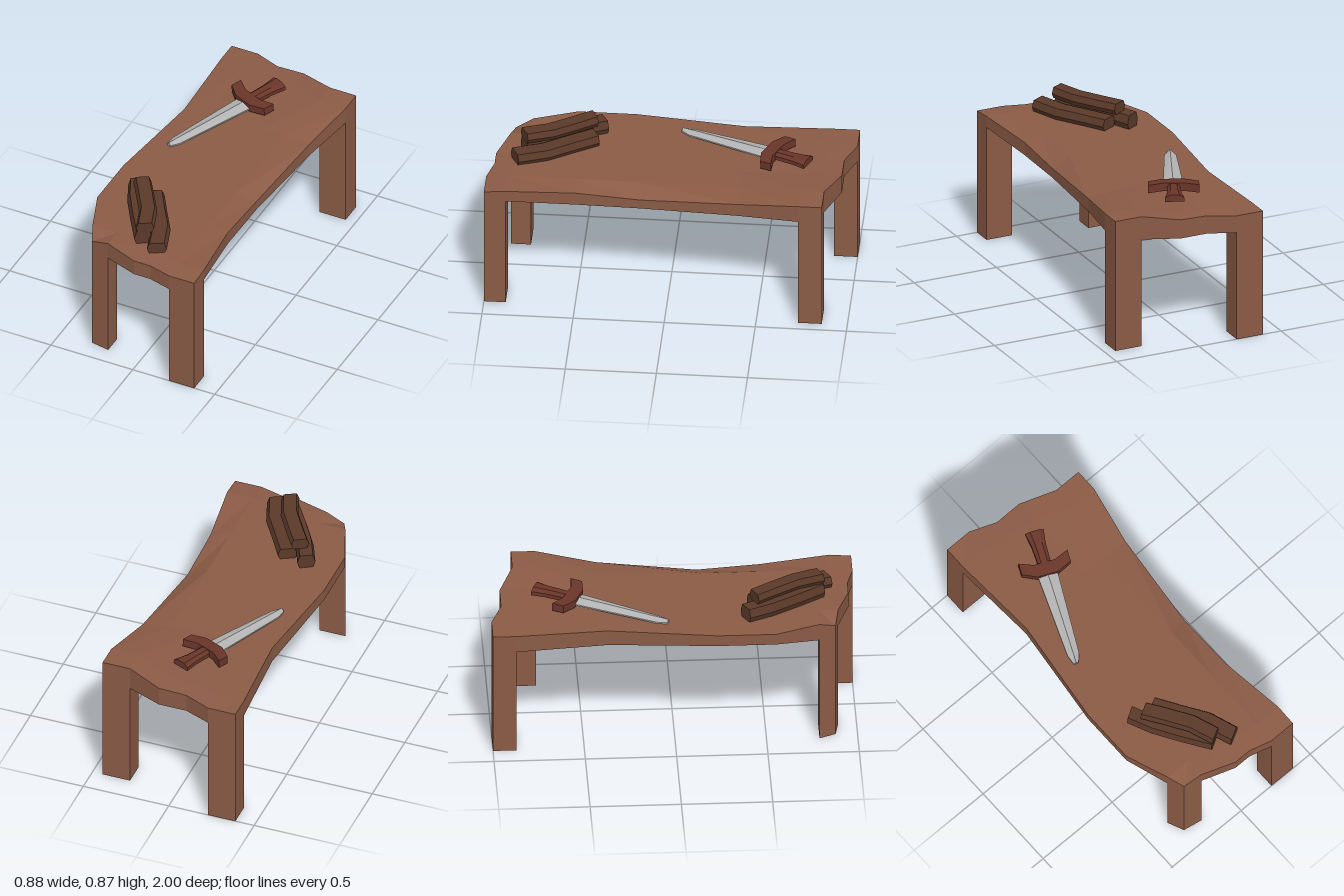
import * as THREE from 'three';

const WOOD = 0x8b5b46, LOG = 0x5a3929, HILT = 0x6a3529, STEEL = 0xb4b4b4;

// Skin a list of equal, even-length loops and close both ends.
// Loops run counter-clockwise seen from the last section.
function loft(name, color, sections) {
  const n = sections[0].length, last = sections.length - 1, pos = [];
  const quad = (a, b, c, d) => pos.push(...a, ...b, ...c, ...a, ...c, ...d);
  for (let k = 0; k < last; k++) {
    const s = sections[k], t = sections[k + 1];
    for (let i = 0; i < n; i++) {
      const j = (i + 1) % n;
      quad(s[i], s[j], t[j], t[i]);
    }
  }
  const s = sections[0], e = sections[last];
  for (let i = 0; i < n / 2 - 1; i++) {
    quad(s[i], s[n - 1 - i], s[n - 2 - i], s[i + 1]);
    quad(e[i], e[i + 1], e[n - 2 - i], e[n - 1 - i]);
  }
  const geo = new THREE.BufferGeometry();
  geo.setAttribute('position', new THREE.Float32BufferAttribute(pos, 3));
  geo.computeVertexNormals();
  const mesh = new THREE.Mesh(geo, new THREE.MeshStandardMaterial({ color, flatShading: true }));
  mesh.name = name;
  return mesh;
}

// Two end values become six evenly spaced ones
const spread = (a) => a.length === 6 ? a
  : [0, 1, 2, 3, 4, 5].map((i) => a[0] + (a[1] - a[0]) * i / 5);

// Warped slab: rows from back to front, six columns from left to right
function tableTop() {
  const backX = [-0.39, -0.23, -0.08, 0.08, 0.28, 0.44];
  const frontX = [-0.2, -0.01, 0.09, 0.22, 0.375];
  const low = [0.63, 0.63, 0.63, 0.63, 0.63];
  const flat = [0.73, 0.73, 0.73, 0.73, 0.73];
  const rows = [
    { x: backX, z: [-1, -1, -0.94, -0.94, -0.86, -0.86],
      top: [0.73, 0.73, 0.735, 0.74, 0.765, 0.765], bottom: [...low, 0.63] },
    { x: backX, z: [-0.87, -0.87, -0.84, -0.81, -0.73, -0.73],
      top: [0.73, 0.735, 0.74, 0.745, 0.765, 0.765], bottom: [...low, 0.665] },
    { x: [-0.365, 0.38], z: [-0.37, -0.4],
      top: [0.735, 0.735, 0.735, 0.735, 0.735, 0.72], bottom: [0.645, ...low.slice(1), 0.645] },
    { x: [-0.44, -0.26, -0.08, 0.07, 0.22, 0.33], z: [0.23, 0.15],
      top: [...flat, 0.685], bottom: [0.665, ...low.slice(1), 0.63] },
    { x: [-0.44, -0.26, -0.08, 0.07, 0.22, 0.33], z: [0.55, 0.5],
      top: [...flat, 0.71], bottom: [0.665, ...low.slice(1), 0.635] },
    { x: [-0.35, ...frontX], z: [0.79, 0.79, 0.83, 0.85, 0.88, 0.88],
      top: [...flat, 0.73], bottom: [...low, 0.665] },
    { x: [-0.31, ...frontX], z: [0.88, 0.9, 0.965, 0.965, 1, 1],
      top: [0.695, 0.73, 0.72, 0.72, 0.72, 0.72], bottom: [...low, 0.63] },
  ];
  return loft('tableTop', WOOD, rows.map((r) => {
    const x = spread(r.x), z = spread(r.z);
    const side = (h) => x.map((v, i) => [v, h[i], z[i]]);
    return [...side(r.bottom), ...side(r.top).reverse()];
  }));
}

// Straight leg over a four-cornered footprint (x, z)
const leg = (name, foot) =>
  loft(name, WOOD, [0, 0.665].map((y) => foot.map(([x, z]) => [x, y, z])));

// Slightly bent six-sided log lying from (x0, z0) to (x1, z1)
function log(name, x0, z0, x1, z1, y, width, height, bend) {
  const dx = x1 - x0, dz = z1 - z0, length = Math.hypot(dx, dz);
  const hex = [[-0.35, 0], [0.35, 0], [0.5, 0.45], [0.36, 1], [-0.36, 1], [-0.5, 0.45]];
  const mesh = loft(name, LOG, [0, 0.3, 0.65, 1].map((t, i) =>
    hex.map(([u, v]) => [u * width + bend[i], v * height, t * length])));
  mesh.position.set(x0, y, z0);
  mesh.rotation.y = Math.atan2(dx, dz);
  return mesh;
}

// Short sword, blade along +z from the guard
function sword() {
  const g = new THREE.Group();
  g.name = 'sword';
  const blade = loft('blade', STEEL, [[0, 0.058], [0.52, 0.033], [0.575, 0.014]].map(([z, w]) => [
    [-w, 0, z], [0, -0.004, z], [w, 0, z], [w, 0.008, z], [0, 0.022, z], [-w, 0.008, z],
  ]));
  const guard = loft('guard', HILT,
    [[-0.14, -0.02, 0.033], [-0.06, 0.015, 0.036], [0.06, 0.015, 0.036], [0.14, -0.02, 0.033]]
      .map(([x, z, d]) => [[x, -0.01, z - d], [x, 0.036, z - d], [x, 0.036, z + d], [x, -0.01, z + d]]));
  const handle = loft('handle', HILT, [[-0.21, 0.053], [-0.13, 0.04], [-0.02, 0.036]].map(([z, w]) => [
    [-w, -0.005, z], [w, -0.005, z], [w, 0.018, z], [w * 0.5, 0.033, z], [-w * 0.5, 0.033, z], [-w, 0.018, z],
  ]));
  g.add(blade, guard, handle);
  g.position.set(-0.06, 0.762, -0.56);
  g.rotation.set(0.05, -0.42, 0, 'YXZ');
  return g;
}

export function createModel() {
  const model = new THREE.Group();
  model.name = 'table';
  model.add(
    tableTop(),
    leg('frontRightLeg', [[-0.31, 0.88], [-0.2, 0.9], [-0.2, 0.79], [-0.35, 0.79]]),
    leg('frontLeftLeg', [[0.22, 1], [0.375, 1], [0.375, 0.88], [0.22, 0.88]]),
    leg('backRightLeg', [[-0.39, -0.87], [-0.23, -0.87], [-0.23, -1], [-0.39, -1]]),
    leg('backLeftLeg', [[0.28, -0.73], [0.44, -0.73], [0.44, -0.86], [0.28, -0.86]]),
    sword(),
  );
  // Stack of three logs
  const logs = new THREE.Group();
  logs.name = 'logs';
  logs.add(
    log('lowerLogLeft', -0.15, 0.43, 0.075, 0.855, 0.725, 0.11, 0.07, [0, 0.01, 0.025, 0]),
    log('lowerLogRight', -0.275, 0.39, -0.03, 0.81, 0.725, 0.1, 0.085, [0, -0.015, -0.01, 0]),
    log('upperLog', -0.22, 0.44, -0.02, 0.81, 0.807, 0.1, 0.063, [0, 0.012, 0.022, 0]),
  );
  model.add(logs);
  return model;
}
